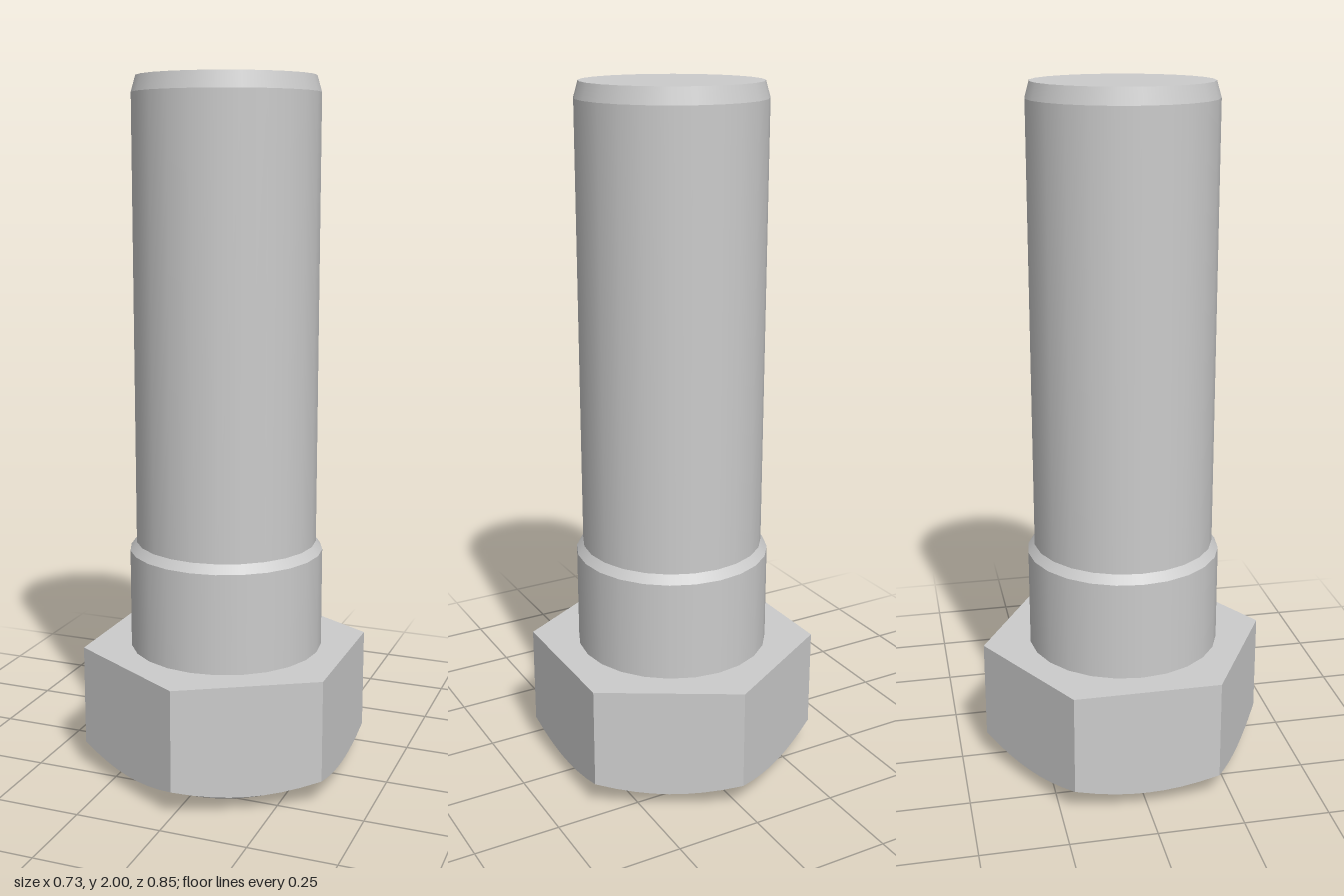
import * as THREE from 'three';
import { toCreasedNormals } from 'three/addons/utils/BufferGeometryUtils.js';

const SIDES = 24;
const CORNER = 0.423;                              // hexagon corner radius
const APOTHEM = CORNER * Math.cos(Math.PI / 6);    // hexagon flat distance
const FACE = 0.282, CHAMFER = 0.075, HEAD_TOP = 0.37;

// Hexagon radius at an angle, with corners on the z axis
function hexRadius(a) {
  const step = Math.PI / 3;
  return APOTHEM / Math.cos((a % step) - step / 2);
}

// Hex head whose underside is cut by a cone, leaving arched edges on the flats
function headGeometry() {
  const n = 48;
  const rings = [
    () => [0, 0],
    () => [FACE, 0],
    (r) => [r, CHAMFER * (r - FACE) / (CORNER - FACE)],
    (r) => [r, HEAD_TOP],
    () => [0, HEAD_TOP],
  ];
  const point = (ring, i) => {
    const a = ((i % n) / n) * Math.PI * 2;
    // the small offset keeps corner angles stable under the modulo
    const [r, y] = ring(hexRadius(a + 1e-9));
    return [r * Math.sin(a), y, r * Math.cos(a)];
  };
  const pos = [];
  for (let k = 0; k < rings.length - 1; k++) {
    for (let i = 0; i < n; i++) {
      const a0 = point(rings[k], i), a1 = point(rings[k], i + 1);
      const b0 = point(rings[k + 1], i), b1 = point(rings[k + 1], i + 1);
      if (k > 0) pos.push(...a0, ...a1, ...b1);
      if (k < rings.length - 2 || k === 0) pos.push(...a0, ...b1, ...b0);
    }
  }
  const geo = new THREE.BufferGeometry();
  geo.setAttribute('position', new THREE.Float32BufferAttribute(pos, 3));
  return toCreasedNormals(geo, 0.35);
}

export function createModel() {
  const group = new THREE.Group();
  const material = new THREE.MeshStandardMaterial({ color: 0xcccccc });
  const add = (name, geo, y = 0) => {
    const mesh = new THREE.Mesh(geo, material);
    mesh.name = name;
    mesh.position.y = y;
    group.add(mesh);
  };

  add('hexHead', headGeometry());

  // Round sections, bottom to top: name, lower y, upper y, lower radius, upper radius
  const sections = [
    ['collar', HEAD_TOP, 0.66, 0.282, 0.282],
    ['collarChamfer', 0.66, 0.685, 0.282, 0.263],
    ['shank', 0.685, 1.955, 0.263, 0.263],
    ['tipChamfer', 1.955, 2, 0.263, 0.25],
  ];
  for (const [name, y0, y1, r0, r1] of sections) {
    add(name, new THREE.CylinderGeometry(r1, r0, y1 - y0, SIDES, 1, true), (y0 + y1) / 2);
  }

  // Flat end of the shank
  const cap = new THREE.CircleGeometry(0.25, SIDES);
  cap.rotateX(-Math.PI / 2);
  add('tipFace', cap, 2);

  return group;
}
